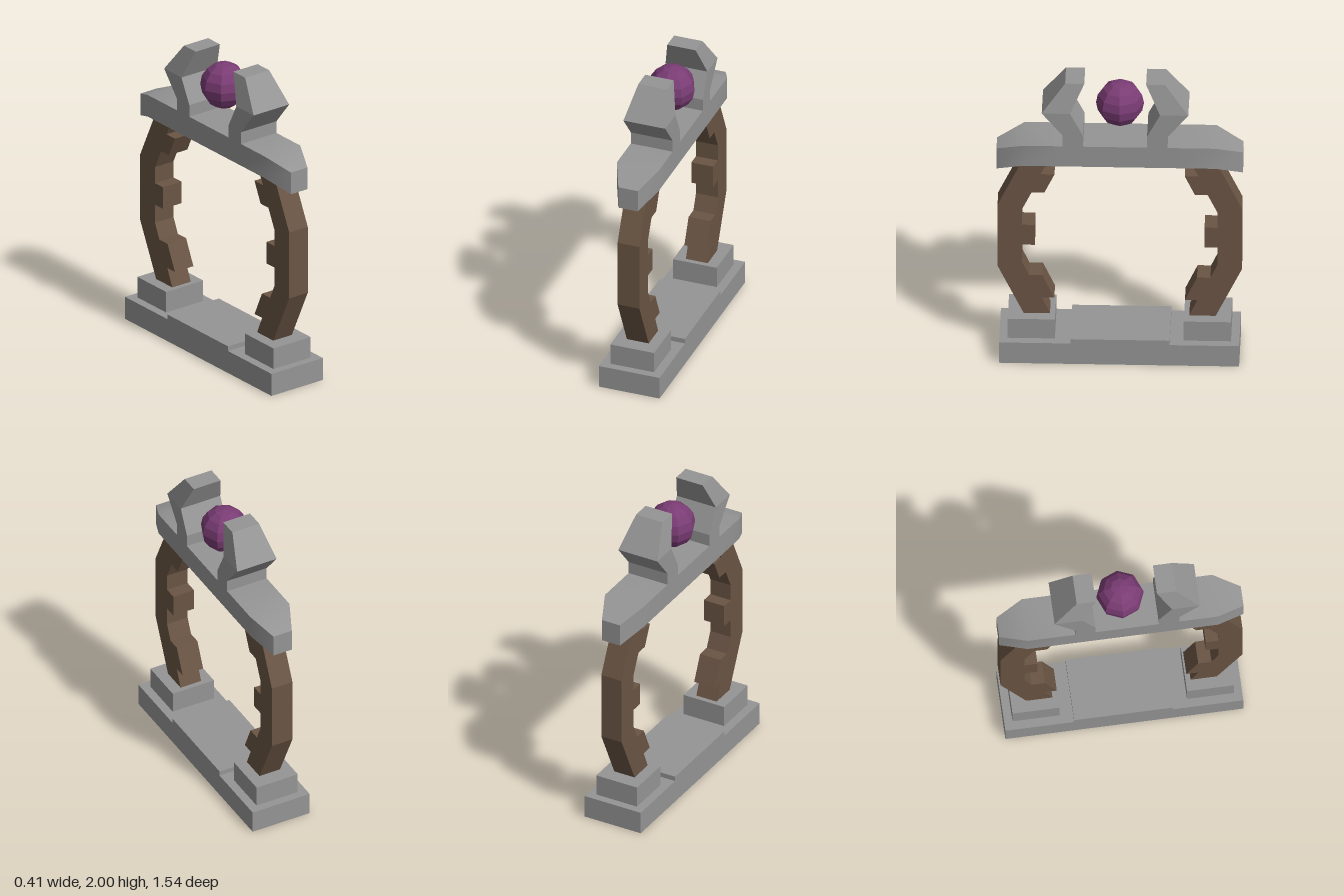
import * as THREE from 'three';

const stone = new THREE.MeshStandardMaterial({ color: 0x959595, flatShading: true });
const smoothStone = new THREE.MeshStandardMaterial({ color: 0x959595 });
const wood = new THREE.MeshStandardMaterial({ color: 0x6a5544, flatShading: true });
const gem = new THREE.MeshStandardMaterial({ color: 0x7a3c74, flatShading: true });

// Solid from a [z, y] profile, centred on x; halfWidth(y) may vary for tapers.
function prism(name, profile, halfWidth, material) {
  const shape = new THREE.Shape(profile.map(([z, y]) => new THREE.Vector2(z, y)));
  const geo = new THREE.ExtrudeGeometry(shape, { depth: 2, bevelEnabled: false });
  geo.translate(0, 0, -1).rotateY(-Math.PI / 2);
  const p = geo.attributes.position;
  for (let i = 0; i < p.count; i++) p.setX(i, p.getX(i) * halfWidth(p.getY(i)));
  geo.computeVertexNormals();
  const mesh = new THREE.Mesh(geo, material);
  mesh.name = name;
  return mesh;
}

function box(name, w, y0, y1, d, z) {
  const mesh = new THREE.Mesh(new THREE.BoxGeometry(w, y1 - y0, d), stone);
  mesh.position.set(0, (y0 + y1) / 2, z);
  mesh.name = name;
  return mesh;
}

// Beam with drooping, narrowing ends; each long face is smooth along its length
function makeLintel() {
  const sections = [-0.77, -0.6, -0.35, 0.35, 0.6, 0.77];
  const geo = new THREE.BoxGeometry(0.28, 0.148, 5, 1, 1, 5);
  const p = geo.attributes.position;
  for (let i = 0; i < p.count; i++) {
    const z = sections[Math.round(p.getZ(i) + 2.5)];
    const isEnd = Math.abs(z) > 0.7;
    p.setXYZ(i, p.getX(i) * (isEnd ? 0.465 : 1), p.getY(i) + (isEnd ? 1.421 : 1.491), z);
  }
  geo.computeVertexNormals();
  const mesh = new THREE.Mesh(geo, smoothStone);
  mesh.name = 'lintel';
  return mesh;
}

export function createModel() {
  const model = new THREE.Group();
  model.name = 'archway';

  // Plinth and raised threshold
  model.add(box('base', 0.405, 0, 0.15, 1.5, 0));
  model.add(box('threshold', 0.405, 0.15, 0.182, 0.62, -0.006));
  model.add(makeLintel());

  // Notched post, bent outward, teeth on the inner side
  const post = [
    [0.6, 0.29], [0.763, 0.635], [0.763, 1.085], [0.605, 1.42], [0.44, 1.42],
    [0.495, 1.315], [0.407, 1.315], [0.47, 1.18], [0.55, 1.18], [0.612, 1.05],
    [0.612, 0.94], [0.53, 0.94], [0.53, 0.793], [0.612, 0.793], [0.612, 0.67],
    [0.567, 0.57], [0.483, 0.57], [0.408, 0.405], [0.485, 0.405], [0.435, 0.29],
  ];
  // Bent horn: straight-sided lower half, tapering upper half
  const hornLower = [
    [0.355, 1.565], [0.355, 1.645], [0.485, 1.805], [0.308, 1.805], [0.227, 1.645], [0.227, 1.565],
  ];
  const hornUpper = [[0.485, 1.805], [0.34, 2], [0.22, 2], [0.308, 1.805]];

  for (const [side, s, shift] of [['front', 1, 0], ['back', -1, 0.054]]) {
    const place = (pts, dz = 0) => pts.map(([z, y]) => [s * z + dz, y]);
    model.add(box(side + 'Pedestal', 0.292, 0.15, 0.29, 0.295, s * 0.55));
    model.add(prism(side + 'Post', place(post), () => 0.073, wood));

    const horn = new THREE.Group();
    horn.name = side + 'Horn';
    horn.add(prism('hornLower', place(hornLower, shift), () => 0.14, stone));
    horn.add(prism('hornUpper', place(hornUpper, shift),
      (y) => THREE.MathUtils.mapLinear(y, 1.805, 2, 0.14, 0.095), stone));
    model.add(horn);
  }

  // Faceted orb floating between the horns
  const orb = new THREE.Mesh(new THREE.SphereGeometry(0.15, 8, 8), gem);
  orb.position.y = 1.808;
  orb.name = 'orb';
  model.add(orb);

  return model;
}
